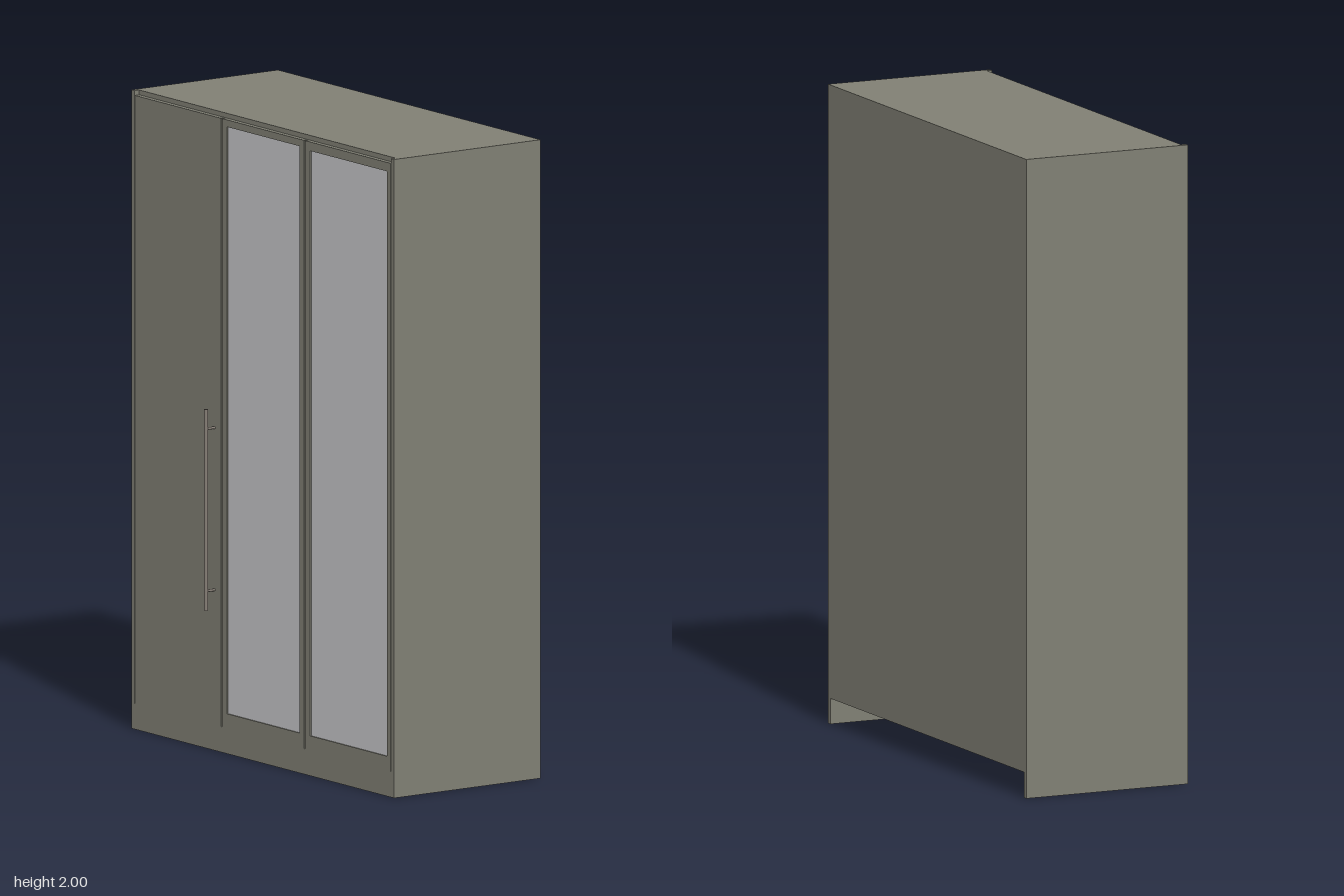
import * as THREE from 'three';

export function createModel() {
  const body = new THREE.MeshStandardMaterial({ color: 0x807f74 });
  body.name = 'taupe panel';
  const glass = new THREE.MeshStandardMaterial({ color: 0xc6c7c9 });
  glass.name = 'mirror silver';
  const metal = new THREE.MeshStandardMaterial({ color: 0x857d75 });
  metal.name = 'handle metal';

  const model = new THREE.Group();
  model.name = 'wardrobe';

  // Box given by its lower and upper limits on each axis
  function panel(name, x0, x1, y0, y1, z0, z1, material = body, parent = model) {
    const mesh = new THREE.Mesh(new THREE.BoxGeometry(x1 - x0, y1 - y0, z1 - z0), material);
    mesh.position.set((x0 + x1) / 2, (y0 + y1) / 2, (z0 + z1) / 2);
    mesh.name = name;
    parent.add(mesh);
  }

  const W = 0.695, T = 0.016, IN = W - T;
  const BACK = -0.296, FRONT = 0.257, DOOR_BACK = 0.24;
  const BASE = 0.08, DOOR_TOP = 1.985;

  // Carcass
  panel('rightSide', -W, -IN, 0, 2, BACK, FRONT);
  panel('leftSide', IN, W, 0, 2, BACK, FRONT);
  panel('topPanel', -IN, IN, 2 - T, 2, BACK, DOOR_BACK);
  panel('bottomPanel', -IN, IN, BASE, BASE + T, BACK, DOOR_BACK - 0.002);
  panel('backPanel', -IN, IN, BASE + T, 2 - T, BACK, BACK + 0.01);
  panel('plinth', -IN, IN, 0, BASE, FRONT - T, FRONT);

  // Plain door
  const gap = 0.003;
  panel('plainDoor', -IN + 0.002, -0.219 - gap, BASE, DOOR_TOP, DOOR_BACK, FRONT);

  // Framed doors with slightly recessed mirrors
  function mirrorDoor(name, x0, x1, m0, m1, top) {
    const door = new THREE.Group();
    door.name = name;
    const low = 0.125;
    panel('frameStile', x0, m0, BASE, DOOR_TOP, DOOR_BACK, FRONT, body, door);
    panel('frameStile', m1, x1, BASE, DOOR_TOP, DOOR_BACK, FRONT, body, door);
    panel('frameRail', m0, m1, BASE, low, DOOR_BACK, FRONT, body, door);
    panel('frameRail', m0, m1, top, DOOR_TOP, DOOR_BACK, FRONT, body, door);
    panel('doorBacking', m0, m1, low, top, DOOR_BACK, FRONT - 0.01, body, door);
    panel('mirror', m0, m1, low, top, FRONT - 0.01, FRONT - 0.004, glass, door);
    model.add(door);
  }
  mirrorDoor('middleDoor', -0.219 + gap, 0.22 - gap, -0.19, 0.195, 1.963);
  mirrorDoor('leftDoor', 0.22 + gap, IN - 0.002, 0.251, 0.656, 1.957);

  // Bar handle on two posts
  const handle = new THREE.Group();
  handle.name = 'handle';
  handle.position.set(-0.255, 0, 0);
  const bar = new THREE.Mesh(new THREE.CylinderGeometry(0.006, 0.006, 0.63, 20), metal);
  bar.position.set(0, 0.757, 0.29);
  bar.name = 'handleBar';
  handle.add(bar);
  for (const y of [0.503, 1.011]) {
    const post = new THREE.Mesh(new THREE.CylinderGeometry(0.004, 0.004, 0.034, 16), metal);
    post.rotation.x = Math.PI / 2;
    post.position.set(0, y, 0.273);
    post.name = 'handlePost';
    handle.add(post);
  }
  model.add(handle);

  return model;
}
